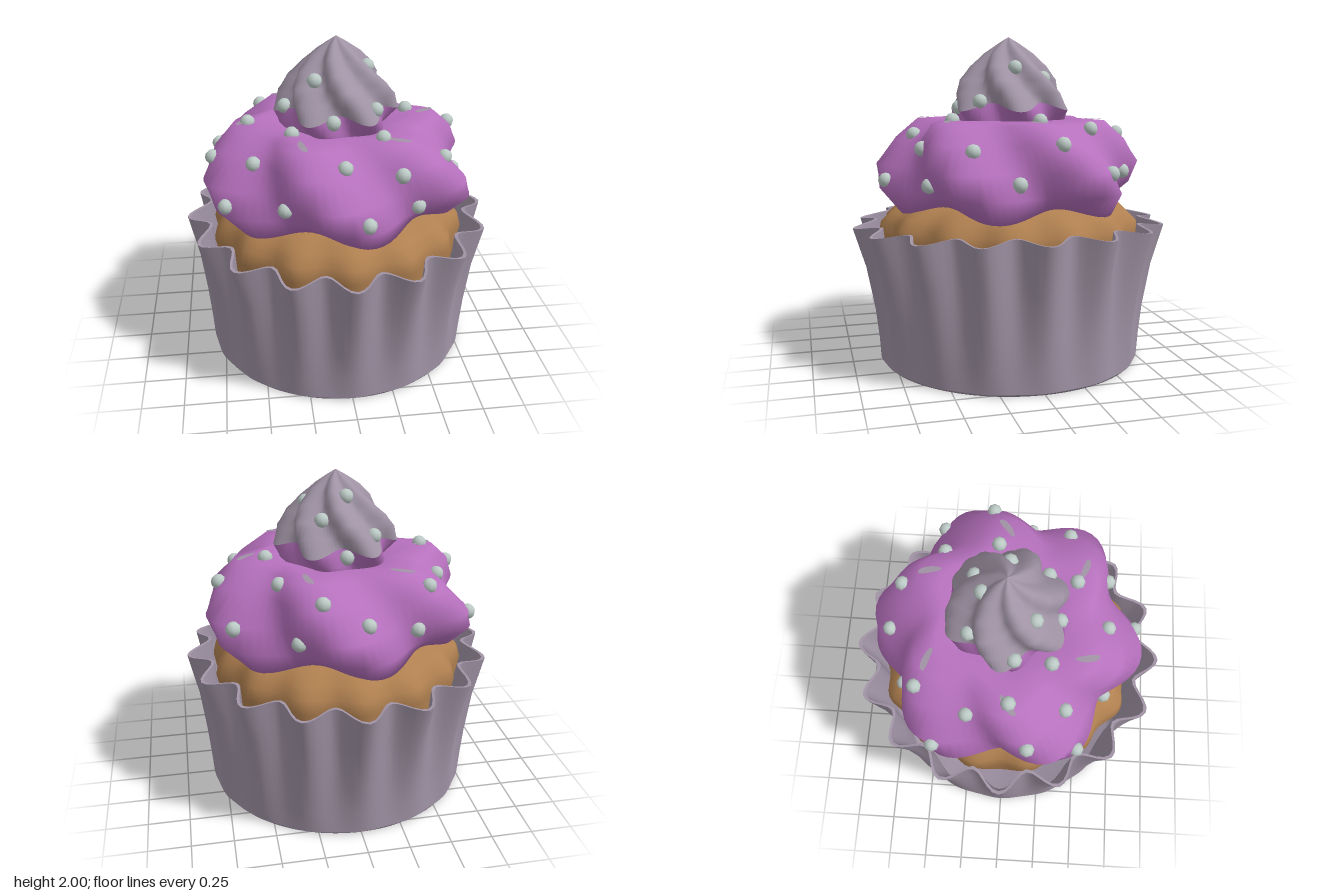
import * as THREE from 'three';

const TAU = Math.PI * 2;

// Ring: y height, r mean radius, a lobe depth, w lobe height wave, p lobe phase, sx squash in x, e rim tilt
const ring = (y, r, a = 0, p = 0, w = 0, sx = 1, e = 0) => ({ y, r, a, p, w, sx, e });

// Point at angle th (from +z towards +x) on one ring
function ringPoint(k, lobes, th) {
  const c = Math.cos(lobes * (th - k.p));
  const r = k.r + k.a * c;
  return new THREE.Vector3(r * Math.sin(th) * k.sx, k.y + k.w * c + k.e * Math.cos(2 * th), r * Math.cos(th));
}

// Point on the surface through all rings, t counted in rings
function surfacePoint(rings, lobes, t, th) {
  const i = Math.min(Math.floor(t), rings.length - 2);
  return ringPoint(rings[i], lobes, th).lerp(ringPoint(rings[i + 1], lobes, th), t - i);
}

// Closed fluted surface through a stack of rings
function fluted(rings, lobes, segs) {
  const pos = [], idx = [];
  rings.forEach((k, i) => {
    for (let j = 0; j < segs; j++) {
      pos.push(...ringPoint(k, lobes, (j / segs) * TAU).toArray());
      if (i === rings.length - 1) continue;
      const n = (j + 1) % segs;
      const a = i * segs + j, b = i * segs + n, c = a + segs, d = b + segs;
      idx.push(a, b, c, b, d, c);
    }
  });
  const g = new THREE.BufferGeometry();
  g.setAttribute('position', new THREE.Float32BufferAttribute(pos, 3));
  g.setIndex(idx);
  g.computeVertexNormals();
  return g;
}

export function createModel() {
  const mat = (name, color, side = THREE.FrontSide) => {
    const m = new THREE.MeshStandardMaterial({ color, side });
    m.name = name;
    return m;
  };
  const lilac = mat('lilac', 0xa093a5, THREE.DoubleSide);
  const purple = mat('purple frosting', 0xb771be);
  const cakeBrown = mat('cake brown', 0xb08050);
  const silver = mat('pale silver', 0xbccac6);

  const model = new THREE.Group();
  model.name = 'cupcake';
  const add = (name, geo, material, parent = model) => {
    const m = new THREE.Mesh(geo, material);
    m.name = name;
    parent.add(m);
    return m;
  };

  // Pleated paper cup: outer wall, rim, inner wall and base
  const cup = new THREE.Group();
  cup.name = 'paperCup';
  model.add(cup);
  const rim = ring(0.87, 0.915, 0.066, 0, -0.012, 0.96, -0.013);
  const rimIn = { ...rim, r: 0.893 };
  const foot = ring(0.012, 0.82, 0.004);
  add('cupWall', fluted([
    foot,
    ring(0.15, 0.822, 0.012),
    ring(0.33, 0.832, 0.022, 0, 0, 0.995),
    ring(0.6, 0.863, 0.042, 0, 0, 0.975),
    rim,
  ], 16, 160), lilac, cup);
  add('cupRim', fluted([rim, rimIn], 16, 160), lilac, cup);
  add('cupInside', fluted([
    rimIn,
    ring(0.6, 0.84, 0.042, 0, 0, 0.975),
    ring(0.3, 0.8, 0.02),
    ring(0.03, 0.78),
    ring(0.03, 0),
  ], 16, 160), lilac, cup);
  add('cupBase', fluted([ring(0, 0), ring(0, 0.81), foot], 16, 160), lilac, cup);

  // Sponge cake dome
  add('cake', fluted([
    ring(0.55, 0.76, 0.01, 0, 0, 0.96),
    ring(0.8, 0.8, 0.025, 0, 0, 0.96),
    ring(0.88, 0.785, 0.025, 0, 0, 0.95),
    ring(0.94, 0.725, 0.02, 0, 0, 0.96),
    ring(1.0, 0.63, 0.01),
    ring(1.04, 0.4),
    ring(1.05, 0),
  ], 14, 112), cakeBrown);

  // Six-lobed frosting that twists as it rises
  const twist = (y) => -1.3 * (y - 1.12);
  const frost = (y, r, a, w = 0) => ring(y, r, a, twist(y), w, 1.045);
  const frosting = [
    frost(1.03, 0.35, 0),
    frost(0.985, 0.66, 0.045, -0.035),
    frost(1.09, 0.74, 0.075),
    frost(1.23, 0.747, 0.078),
    frost(1.38, 0.655, 0.062),
    frost(1.485, 0.54, 0.055, 0.01),
    frost(1.505, 0.41, 0.03),
    frost(1.46, 0.26, 0.01),
  ];
  add('frosting', fluted(frosting, 6, 96), purple);

  // Peaked swirl on top, purple at its foot
  const swirlPhase = (y) => -0.5 - 2.6 * (y - 1.55);
  const sw = (y, r, a, w = 0) => ring(y, r, a, swirlPhase(y), w);
  const swirl = [
    sw(1.44, 0.28, 0.02),
    sw(1.5, 0.318, 0.035),
    sw(1.58, 0.335, 0.045, -0.025),
    sw(1.66, 0.31, 0.045),
    sw(1.74, 0.267, 0.045),
    sw(1.82, 0.205, 0.036),
    sw(1.9, 0.132, 0.022),
    sw(1.96, 0.06, 0.008),
    sw(2.0, 0),
  ];
  add('swirlFoot', fluted(swirl.slice(0, 3), 6, 96), purple);
  add('swirlPeak', fluted(swirl.slice(2), 6, 96), lilac);

  // Thin lilac streaks lying on the frosting shoulders
  for (let k = 0; k < 6; k++) {
    const g = new THREE.PlaneGeometry(1, 1, 4, 10);
    const p = g.attributes.position;
    for (let i = 0; i < p.count; i++) {
      const u = p.getX(i), v = p.getY(i);
      const half = 0.085 * Math.sqrt(1.05 - 4 * v * v * 0.9);
      const th = 0.58 + k * TAU / 6 - v * 0.14 + u * half;
      const q = surfacePoint(frosting, 6, 5.4 + v * 0.75, th);
      p.setXYZ(i, q.x, q.y + 0.007, q.z);
    }
    g.computeVertexNormals();
    add('frostingStreak', g, lilac);
  }

  // Faceted sugar pearls, settled onto the nearest frosting surface
  const samples = [];
  for (const rings of [frosting.slice(1), swirl]) {
    for (let t = 0; t <= rings.length - 1; t += 0.1) {
      for (let j = 0; j < 180; j++) samples.push(surfacePoint(rings, 6, t, (j / 180) * TAU));
    }
  }
  const pearls = [
    [-0.05, 1.32, -0.725], [0.185, 1.41, -0.645], [-0.46, 1.44, -0.51], [0.38, 1.44, -0.385],
    [0.67, 1.22, -0.425], [-0.6, 1.4, -0.2], [-0.01, 1.55, -0.34], [0.12, 1.76, -0.22],
    [-0.03, 1.86, -0.12], [0.44, 1.51, -0.075], [0.185, 1.81, 0.01], [-0.54, 1.5, 0.04],
    [-0.315, 1.6, 0.05], [-0.15, 1.79, 0.17], [-0.3, 1.49, 0.275], [0.2, 1.6, 0.225],
    [-0.06, 1.57, 0.3], [-0.53, 1.36, 0.36], [0.22, 1.51, 0.395], [0.58, 1.35, 0.36],
    [-0.02, 1.41, 0.6], [0.31, 1.35, 0.57], [0.08, 1.135, 0.775], [-0.67, 1.135, 0.44],
    [-0.74, 1.32, 0.16], [0.69, 1.16, 0.125], [0.7, 1.36, -0.12], [-0.71, 1.2, -0.4],
    [-0.36, 1.2, -0.61], [0.33, 1.19, -0.635], [-0.2, 1.65, -0.21], [-0.36, 1.17, 0.6],
    [0.4, 1.14, 0.58],
  ];
  const pearlGeo = new THREE.SphereGeometry(0.046, 8, 6);
  for (const c of pearls) {
    const want = new THREE.Vector3(...c);
    let best = samples[0];
    for (const s of samples) {
      if (s.distanceToSquared(want) < best.distanceToSquared(want)) best = s;
    }
    add('sugarPearl', pearlGeo, silver).position.copy(best);
  }

  return model;
}
